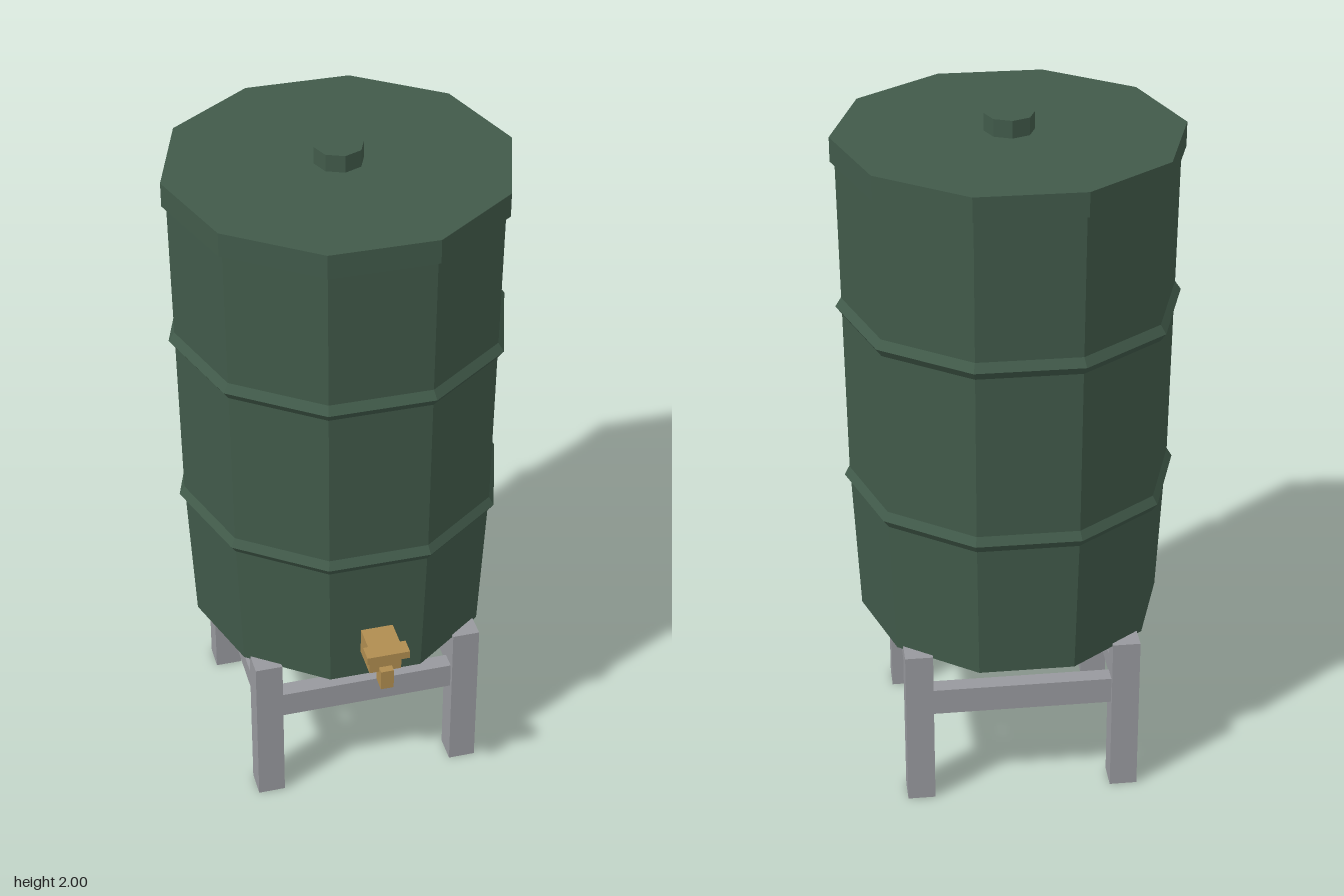
import * as THREE from 'three';

export function createModel() {
  const model = new THREE.Group();
  model.name = 'waterButt';

  const material = (name, color) => {
    const m = new THREE.MeshStandardMaterial({ color, flatShading: true });
    m.name = name;
    return m;
  };
  const green = material('barrelGreen', 0x415a4a);
  const brass = material('tapBrass', 0xb08d50);
  const grey = material('standGrey', 0x98999e);

  const add = (name, geometry, mat, x, y, z) => {
    const mesh = new THREE.Mesh(geometry, mat);
    mesh.name = name;
    mesh.position.set(x, y, z);
    model.add(mesh);
    return mesh;
  };
  const box = (name, mat, w, h, d, x, y, z) =>
    add(name, new THREE.BoxGeometry(w, h, d), mat, x, y, z);

  const cz = -0.046; // barrel and stand axis

  // Ten-sided tapered barrel with two raised hoops
  const profile = [
    [0, 0.48], [0.44, 0.48], [0.46, 0.89], [0.478, 0.915], [0.463, 0.94],
    [0.469, 1.425], [0.487, 1.45], [0.47, 1.475], [0.475, 1.88], [0, 1.88],
  ].map(([r, y]) => new THREE.Vector2(r, y));
  add('barrel', new THREE.LatheGeometry(profile, 10, Math.PI / 2), green, 0, 0, cz);

  // Lid and its octagonal knob
  add('lid', new THREE.CylinderGeometry(0.488, 0.488, 0.07, 10, 1, false, Math.PI / 2), green, 0, 1.915, cz);
  add('lidKnob', new THREE.CylinderGeometry(0.07, 0.07, 0.05, 8), green, 0, 1.975, cz);

  // Stand: four legs joined by four rails
  for (const s of [-1, 1]) {
    for (const t of [-1, 1]) {
      box('leg', grey, 0.08, 0.49, 0.08, s * 0.3, 0.245, cz + t * 0.3);
    }
    box('crossRail', grey, 0.52, 0.08, 0.05, 0, 0.325, cz + s * 0.3);
    box('sideRail', grey, 0.05, 0.06, 0.52, s * 0.3, 0.325, cz);
  }

  // Tap: body, lever and spout
  box('tapBody', brass, 0.094, 0.084, 0.115, 0, 0.614, 0.417);
  box('tapLever', brass, 0.125, 0.024, 0.048, 0, 0.647, 0.484);
  box('tapSpout', brass, 0.038, 0.064, 0.046, 0, 0.556, 0.474);

  return model;
}
